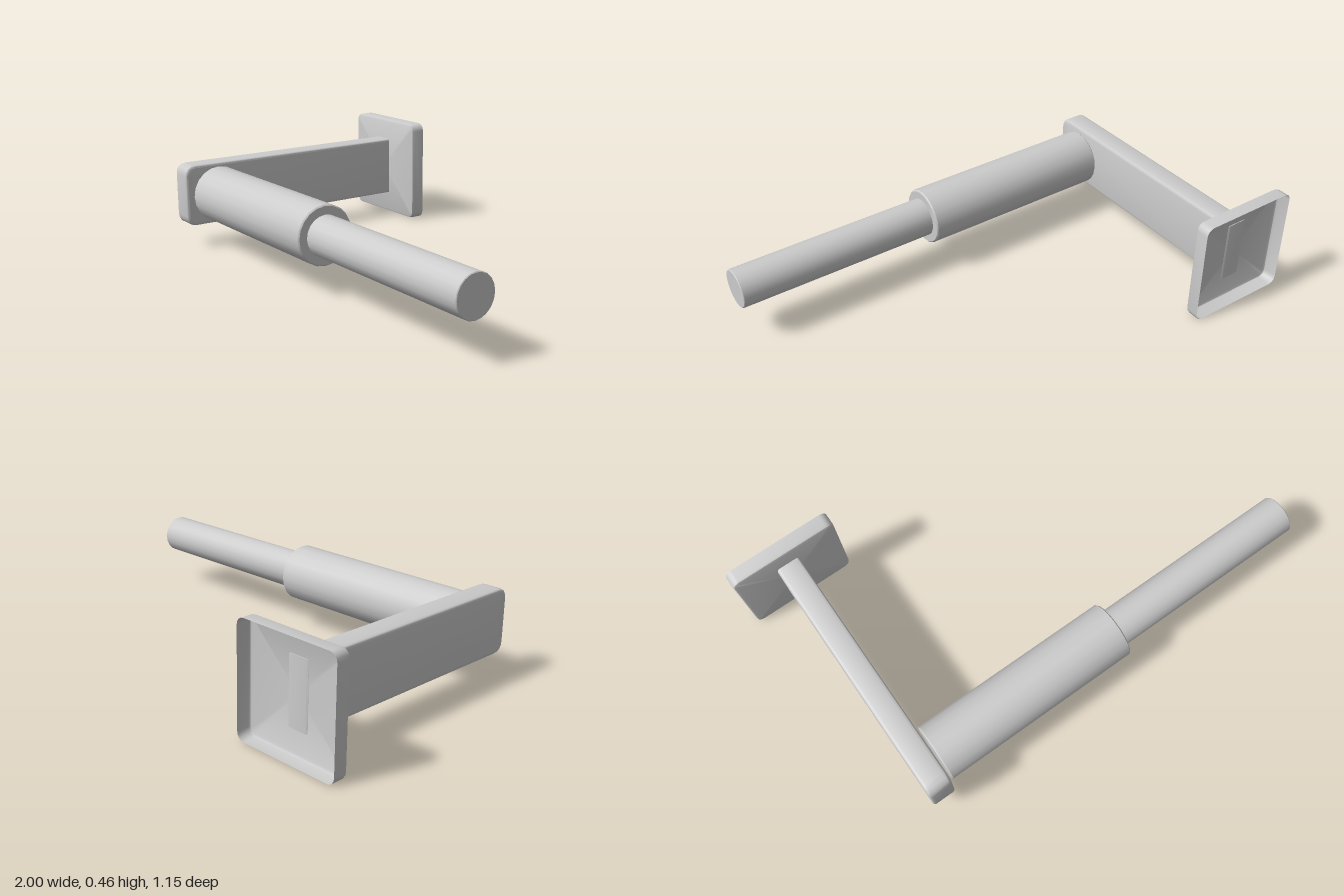
import * as THREE from 'three';
import { toCreasedNormals } from 'three/addons/utils/BufferGeometryUtils.js';

const metal = new THREE.MeshStandardMaterial({ color: 0xcccccc, side: THREE.DoubleSide });
metal.name = 'light grey metal';

function part(name, geometry) {
  const mesh = new THREE.Mesh(toCreasedNormals(geometry, 0.6), metal);
  mesh.name = name;
  return mesh;
}

// Points round a square with rounded corners, counter-clockwise
function roundedSquare(half, radius, steps = 4) {
  const points = [];
  for (let c = 0; c < 4; c++) {
    const mid = Math.PI / 4 + c * Math.PI / 2;
    const cx = Math.sign(Math.cos(mid)) * (half - radius);
    const cy = Math.sign(Math.sin(mid)) * (half - radius);
    for (let i = 0; i <= steps; i++) {
      const a = (c + i / steps) * Math.PI / 2;
      points.push([cx + radius * Math.cos(a), cy + radius * Math.sin(a)]);
    }
  }
  return points;
}

// Hollow wall plate: thin pan, open at the back, softened front edge
function plateGeometry() {
  const sections = [[0.228, 0.032, -0.575], [0.228, 0.032, -0.524],
    [0.2245, 0.0285, -0.5155], [0.216, 0.02, -0.512]];
  const positions = [], indices = [];
  const n = 20;
  for (const [half, radius, z] of sections) {
    for (const [x, y] of roundedSquare(half, radius)) positions.push(x, y, z);
  }
  for (let s = 0; s < sections.length - 1; s++) {
    for (let i = 0; i < n; i++) {
      const a = s * n + i, b = s * n + (i + 1) % n;
      indices.push(a, b, b + n, a, b + n, a + n);
    }
  }
  const last = (sections.length - 1) * n;
  positions.push(0, 0, -0.512);
  for (let i = 0; i < n; i++) indices.push(last + i, last + (i + 1) % n, last + n);
  const geometry = new THREE.BufferGeometry();
  geometry.setAttribute('position', new THREE.Float32BufferAttribute(positions, 3));
  geometry.setIndex(indices);
  geometry.computeVertexNormals();
  return geometry;
}

// Flat arm: side profile with rounded front corners, extruded across x
function armGeometry() {
  const b = 0.012, r = 0.034;
  const back = 0.515 - b, front = -0.572 + b, low = 0.097 + b, high = 0.364 - b;
  const shape = new THREE.Shape();
  shape.moveTo(back, low);
  shape.lineTo(back, high);
  shape.lineTo(front + r, high);
  shape.quadraticCurveTo(front, high, front, high - r);
  shape.lineTo(front, low + r);
  shape.quadraticCurveTo(front, low, front + r, low);
  shape.closePath();
  const geometry = new THREE.ExtrudeGeometry(shape, {
    depth: 0.1 - 2 * b, bevelThickness: b, bevelSize: b, bevelSegments: 3, curveSegments: 4,
  });
  return geometry.rotateY(Math.PI / 2).translate(-0.825 + b, 0, 0);
}

// Round bar along x with small edge chamfers
function barGeometry(start, end, radius, chamfer) {
  const profile = [[0, start], [radius - chamfer, start], [radius, start + chamfer],
    [radius, end - chamfer], [radius - chamfer, end], [0, end]];
  return new THREE.LatheGeometry(profile.map(([r, x]) => new THREE.Vector2(r, x)), 20)
    .rotateZ(-Math.PI / 2).translate(0, 0.231, 0.424);
}

export function createModel() {
  const group = new THREE.Group();
  group.name = 'wall holder';
  const plate = part('wallPlate', plateGeometry());
  plate.position.set(-0.772, 0.228, 0);
  group.add(plate);
  group.add(part('arm', armGeometry()));
  group.add(part('sleeve', barGeometry(-0.714, 0.14, 0.12, 0.005)));
  group.add(part('rod', barGeometry(0.12, 1, 0.082, 0.003)));
  return group;
}
